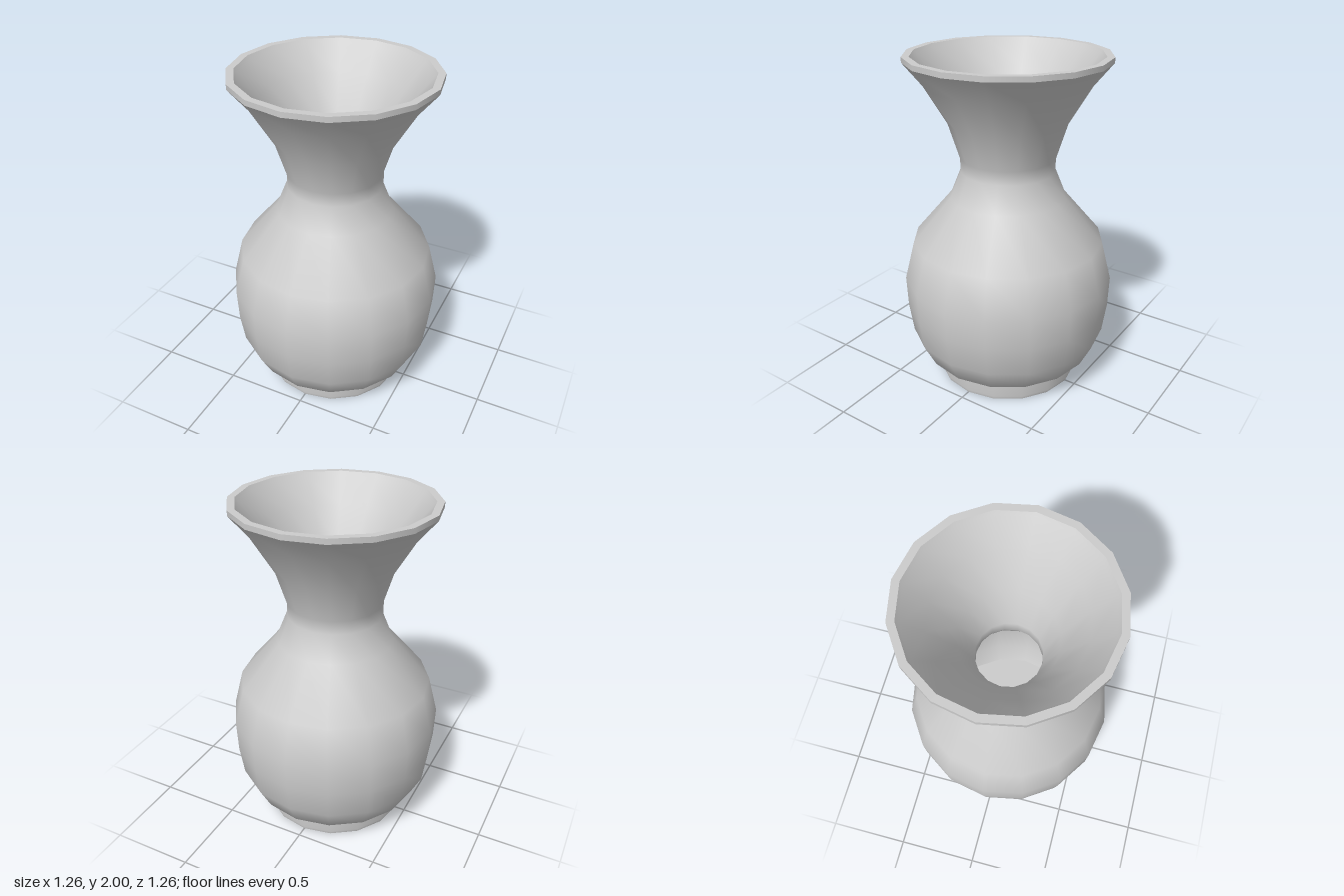
import * as THREE from 'three';

const SIDES = 16;
const material = new THREE.MeshStandardMaterial({ color: 0xcccccc });

// Revolve a profile of [radius, height] pairs; each band is smooth within itself
function revolve(name, profile) {
  const points = profile.map(([r, y]) => new THREE.Vector2(r, y));
  const mesh = new THREE.Mesh(new THREE.LatheGeometry(points, SIDES), material);
  mesh.name = name;
  return mesh;
}

export function createModel() {
  const vase = new THREE.Group();
  vase.name = 'vase';

  // Foot: flat underside and short straight ring
  vase.add(revolve('footUnderside', [[0, 0], [0.435, 0]]));
  vase.add(revolve('footRing', [[0.435, 0], [0.44, 0.02], [0.44, 0.095]]));

  // Outer wall: round belly, narrow neck, flared mouth
  vase.add(revolve('outerWall', [
    [0.44, 0.095], [0.53, 0.16], [0.6, 0.3], [0.625, 0.48], [0.632, 0.67],
    [0.573, 0.9], [0.345, 1.17], [0.28, 1.33], [0.28, 1.41],
    [0.345, 1.62], [0.475, 1.84], [0.582, 1.97],
  ]));

  // Rim: thin vertical lip and flat top
  vase.add(revolve('rimEdge', [[0.582, 1.97], [0.582, 2]]));
  vase.add(revolve('rimTop', [[0.582, 2], [0.54, 2]]));

  // Hollow inside, from the mouth down to the floor
  vase.add(revolve('innerWall', [
    [0.54, 2], [0.525, 1.98], [0.415, 1.84], [0.275, 1.62], [0.19, 1.41], [0.19, 1.33],
    [0.265, 1.15], [0.5, 0.87], [0.55, 0.67], [0.545, 0.48], [0.52, 0.32], [0.46, 0.2],
  ]));
  vase.add(revolve('innerFloor', [[0.46, 0.2], [0, 0.2]]));

  return vase;
}
